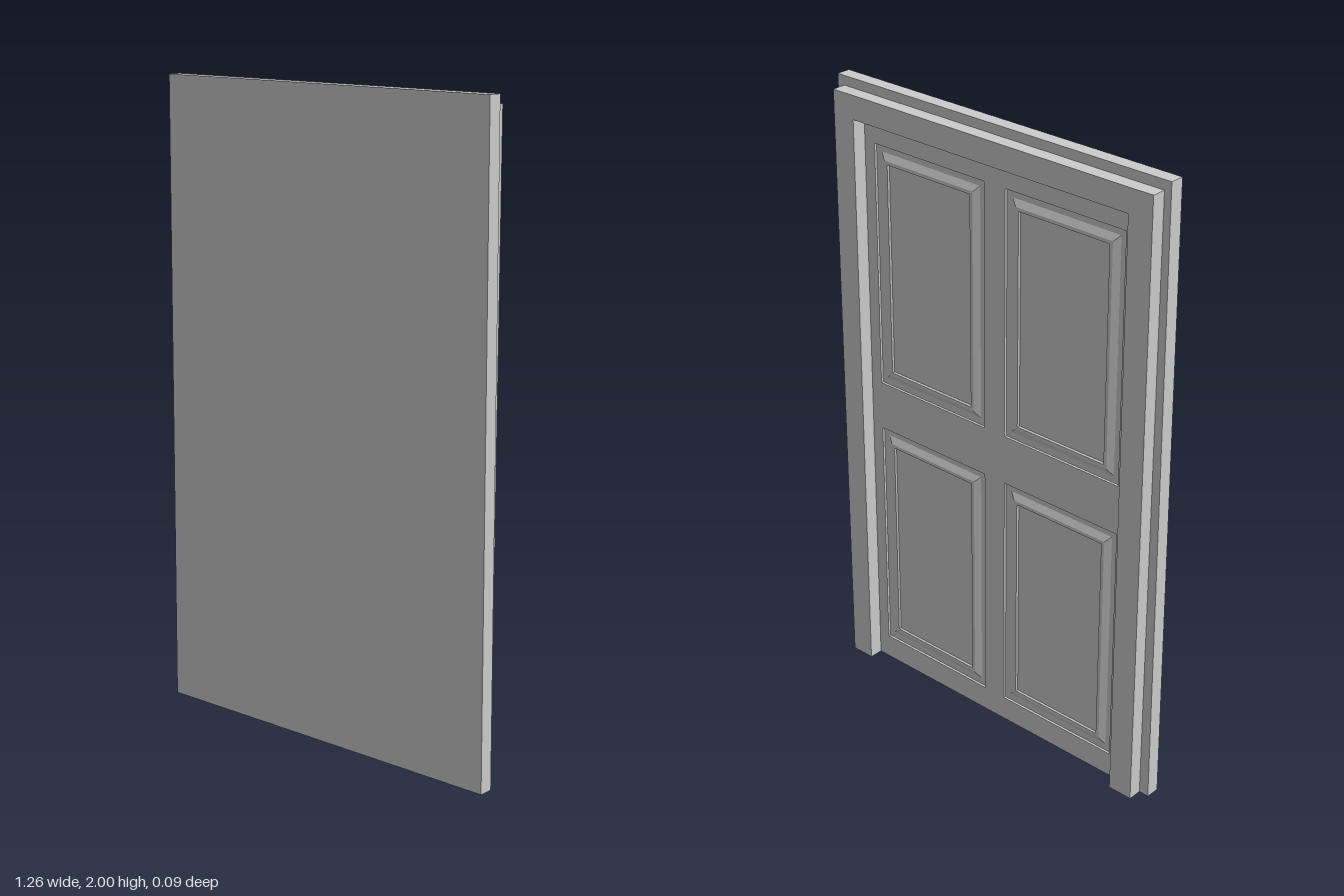
import * as THREE from 'three';

const material = new THREE.MeshStandardMaterial({ color: 0xcccccc, flatShading: true });

const polygon = (points) => points.map(([x, y]) => new THREE.Vector2(x, y));

// Extrude an outline (with optional holes) between two depths.
function plate(name, outline, holes, z0, z1) {
  const shape = new THREE.Shape(polygon(outline));
  for (const hole of holes) shape.holes.push(new THREE.Path(polygon(hole)));
  const geometry = new THREE.ExtrudeGeometry(shape, { depth: z1 - z0, bevelEnabled: false });
  geometry.translate(0, 0, z0);
  const mesh = new THREE.Mesh(geometry, material);
  mesh.name = name;
  return mesh;
}

// Rectangle corners, shrunk inwards by an inset.
const rect = ([x0, x1, y0, y1], inset = 0) => [
  [x0 + inset, y0 + inset], [x1 - inset, y0 + inset],
  [x1 - inset, y1 - inset], [x0 + inset, y1 - inset],
];

// Moulded panel facing -z: nested rectangles following an [inset, z] profile.
function mouldedPanel(name, bounds, profile) {
  const rings = profile.map(([inset, z]) => rect(bounds, inset).map(([x, y]) => [x, y, z]));
  const positions = [];
  const quad = (a, b, c, d) => positions.push(...a, ...b, ...c, ...a, ...c, ...d);
  for (let r = 0; r < rings.length - 1; r++) {
    for (let i = 0; i < 4; i++) {
      const j = (i + 1) % 4;
      quad(rings[r][i], rings[r + 1][i], rings[r + 1][j], rings[r][j]);
    }
  }
  const [a, b, c, d] = rings[rings.length - 1];
  quad(a, d, c, b);
  const geometry = new THREE.BufferGeometry();
  geometry.setAttribute('position', new THREE.Float32BufferAttribute(positions, 3));
  geometry.computeVertexNormals();
  const mesh = new THREE.Mesh(geometry, material);
  mesh.name = name;
  return mesh;
}

export function createModel() {
  const door = new THREE.Group();
  door.name = 'panelledDoor';

  // Slightly tapered slab; its back layer has openings for the panels
  const slab = [[-0.63, 0], [0.63, 0], [0.62, 2], [-0.62, 2]];
  const panels = [];
  for (const [x0, x1] of [[-0.475, -0.04], [0.04, 0.475]]) {
    for (const [y0, y1] of [[0.08, 0.87], [1.03, 1.82]]) panels.push([x0, x1, y0, y1]);
  }
  door.add(plate('frontSlab', slab, [], 0.012, 0.045));
  door.add(plate('backFace', slab, panels.map((p) => rect(p)), 0, 0.012));

  // Groove, rising bevel, flat border and shallow sunken field
  const profile = [[0, 0.008], [0.022, 0.008], [0.042, -0.003], [0.053, -0.003], [0.056, 0.003]];
  panels.forEach((p, i) => door.add(mouldedPanel(`panel${i + 1}`, p, profile)));

  // Frame around the back: two jambs and a lintel, open at the floor
  const frame = [
    [-0.597, 0], [-0.515, 0], [-0.515, 1.895], [0.515, 1.895],
    [0.515, 0], [0.594, 0], [0.594, 1.97], [-0.597, 1.97],
  ];
  door.add(plate('frame', frame, [], -0.045, 0));

  return door;
}
